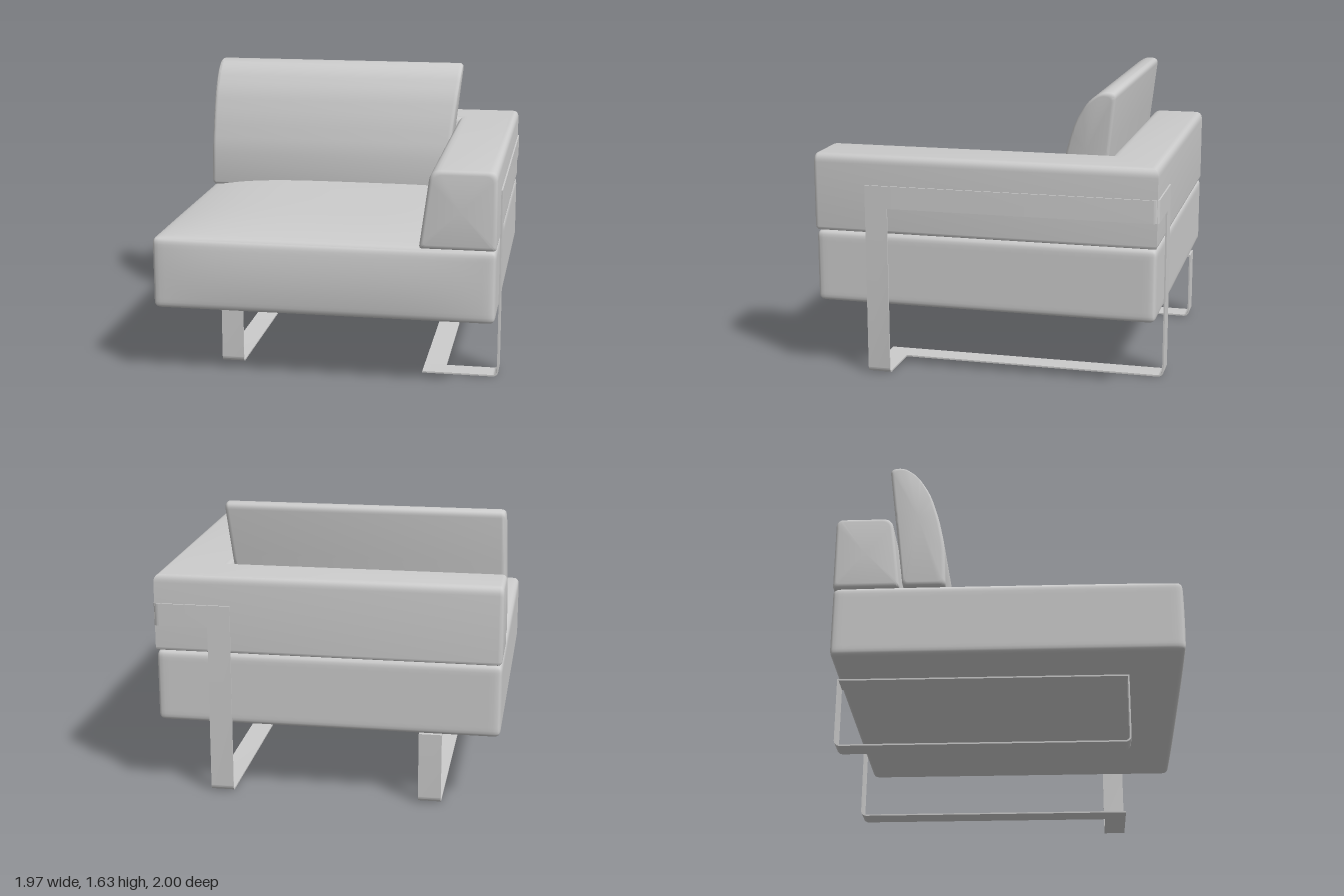
import * as THREE from 'three';
import { mergeVertices, toCreasedNormals } from 'three/addons/utils/BufferGeometryUtils.js';

const V = (x, y, z) => new THREE.Vector3(x, y, z);
const material = new THREE.MeshStandardMaterial({ color: 0xcccccc });

function addMesh(parent, name, geometry) {
  const mesh = new THREE.Mesh(geometry, material);
  mesh.name = name;
  parent.add(mesh);
  return mesh;
}

// Polygon of [u, v, cornerRadius], counter-clockwise, with softened corners
function roundedProfile(corners) {
  const out = [];
  corners.forEach(([u, v, r], i) => {
    const p = new THREE.Vector2(u, v);
    const toward = (q) => new THREE.Vector2(q[0], q[1]).sub(p).setLength(r).add(p);
    const prev = corners[(i + corners.length - 1) % corners.length];
    const next = corners[(i + 1) % corners.length];
    out.push(...new THREE.QuadraticBezierCurve(toward(prev), p, toward(next)).getPoints(6));
  });
  return out;
}

// Shrink a profile towards the middle of its bounding box by d on every side
function inset(profile, d) {
  const box = new THREE.Box2().setFromPoints(profile);
  const c = box.getCenter(new THREE.Vector2());
  const s = box.getSize(new THREE.Vector2());
  return profile.map((p) => new THREE.Vector2(
    c.x + (p.x - c.x) * (1 - 2 * d / s.x), c.y + (p.y - c.y) * (1 - 2 * d / s.y)));
}

// Rings that round off one end: place(point, distanceFromEnd) gives the 3D position
function endRings(profile, r, place) {
  return [0, 1, 2, 3, 4].map((i) => {
    const a = i / 4 * Math.PI / 2;
    return inset(profile, r * (1 - Math.sin(a))).map((p) => place(p, r * (1 - Math.cos(a))));
  });
}

// Skin a series of equal-length closed rings and cap both ends
function loft(rings) {
  const n = rings[0].length, last = rings.length - 1;
  const points = rings.flat(), index = [];
  const centre = (ring) => ring.reduce((s, p) => s.add(p), V(0, 0, 0)).divideScalar(n);
  const first = points.push(centre(rings[0])) - 1;
  const end = points.push(centre(rings[last])) - 1;
  for (let j = 0; j < n; j++) {
    const k = (j + 1) % n;
    for (let i = 0; i < last; i++) {
      const a = i * n + j, b = i * n + k;
      index.push(a, b, b + n, a, b + n, a + n);
    }
    index.push(first, k, j, end, last * n + j, last * n + k);
  }
  const g = new THREE.BufferGeometry().setFromPoints(points);
  g.setIndex(index);
  return toCreasedNormals(g, 0.7);
}

// Upholstered block: rounded edges, crowned top and slightly bowed front
function seatGeometry() {
  const half = V(0.98, 0.21, 0.985), r = 0.035;
  const g = new THREE.BoxGeometry(2, 2, 2, 32, 20, 32);
  g.deleteAttribute('uv');
  g.deleteAttribute('normal');
  const pos = g.attributes.position, p = V(0, 0, 0);
  const inner = half.clone().subScalar(r);
  for (let i = 0; i < pos.count; i++) {
    p.fromBufferAttribute(pos, i);
    // crowd the grid lines towards the edges
    const s = V(...p.toArray().map((c) => Math.sin(c * Math.PI / 2)));
    p.copy(s).multiply(half);
    const core = p.clone().clamp(inner.clone().negate(), inner);
    p.sub(core).setLength(r).add(core);
    if (s.y > 0) p.y += 0.06 * s.y * (1 - s.x ** 4) * (1 - s.z ** 4);
    if (s.z > 0) p.z += 0.02 * s.z ** 8 * (1 - s.x ** 4) * (1 - s.y ** 2);
    pos.setXYZ(i, p.x - 0.005, p.y + 0.62, p.z - 0.003);
  }
  const merged = mergeVertices(g);
  merged.computeVertexNormals();
  return merged;
}

// Arm and backrest as one mitred L-shaped bolster
function armAndBackGeometry() {
  const profile = roundedProfile([
    [0, 0.832, 0.02], [0.43, 0.832, 0.02], [0.37, 1.28, 0.06], [0, 1.28, 0.05]]);
  const k = 0.88, outer = 0.975, rear = -0.99;
  const front = endRings(profile, 0.025, (p, d) => V(outer - p.x, p.y, 0.99 - d));
  const mitre = profile.map((p) => V(outer - p.x, p.y, rear + p.x * k));
  const side = endRings(profile, 0.025, (p, d) => V(-0.985 + d, p.y, rear + p.x * k));
  return loft([...front, mitre, ...side.reverse()]);
}

// Loose back cushion; its arm-side end leans outward with the arm
function cushionGeometry() {
  const profile = roundedProfile([
    [-0.595, 0.84, 0.03], [-0.35, 0.84, 0.03], [-0.36, 1.1, 0.06], [-0.397, 1.28, 0.06],
    [-0.45, 1.45, 0.06], [-0.53, 1.58, 0.05], [-0.615, 1.638, 0.035], [-0.693, 1.63, 0.035],
    [-0.65, 1.28, 0.06]]);
  const armSide = endRings(profile, 0.025, (p, d) => V(0.55 + 0.107 * (p.y - 0.85) - d, p.y, p.x));
  const openSide = endRings(profile, 0.025, (p, d) => V(-0.977 + 0.015 * (p.y - 0.85) + d, p.y, p.x));
  return loft([...armSide, ...openSide.reverse()]);
}

// Flat steel strap folded once: corner at origin, arms of length b along ex and a along ey
function foldedStrap(origin, ex, b, ey, a, width = 0.13) {
  const r = 0.035, t = 0.009, PI = Math.PI;
  const s = new THREE.Shape();
  s.moveTo(0, a);
  s.lineTo(0, r);
  s.absarc(r, r, r, PI, 1.5 * PI, false);
  s.lineTo(b, 0);
  s.lineTo(b, t);
  s.lineTo(r, t);
  s.absarc(r, r, r - t, 1.5 * PI, PI, true);
  s.lineTo(t, a);
  s.closePath();
  const g = new THREE.ExtrudeGeometry(s, { depth: width, bevelEnabled: false, curveSegments: 8 });
  const m = new THREE.Matrix4().makeBasis(ex, ey, ex.clone().cross(ey)).setPosition(origin);
  return toCreasedNormals(g.applyMatrix4(m), 0.6);
}

export function createModel() {
  const model = new THREE.Group();
  model.name = 'cornerArmchair';

  addMesh(model, 'seat', seatGeometry());
  addMesh(model, 'armAndBackrest', armAndBackGeometry());
  addMesh(model, 'backCushion', cushionGeometry());

  const up = V(0, 1, 0), forward = V(0, 0, 1), back = V(0, 0, -1), inward = V(-1, 0, 0);

  // Left frame: band around the corner, then legs folding under to an L on the floor
  const frame = new THREE.Group();
  frame.name = 'leftFrame';
  model.add(frame);
  addMesh(frame, 'cornerBand', foldedStrap(V(0.984, 0.98, -1), inward, 0.444, forward, 1.68));
  addMesh(frame, 'frontLeg', foldedStrap(V(0.984, 0, 0.68), inward, 0.444, up, 0.98));
  addMesh(frame, 'backLeg', foldedStrap(V(0.67, 0, -1), forward, 1.55, up, 0.98));

  // Right sled under the seat
  const sled = new THREE.Group();
  sled.name = 'rightSled';
  model.add(sled);
  addMesh(sled, 'sledBack', foldedStrap(V(-0.53, 0, -0.99), forward, 0.84, up, 0.412));
  addMesh(sled, 'sledFront', foldedStrap(V(-0.66, 0, 0.68), back, 0.83, up, 0.412));
  addMesh(sled, 'sledTop', new THREE.BoxGeometry(0.13, 0.01, 1.66)).position.set(-0.595, 0.406, -0.155);

  return model;
}
